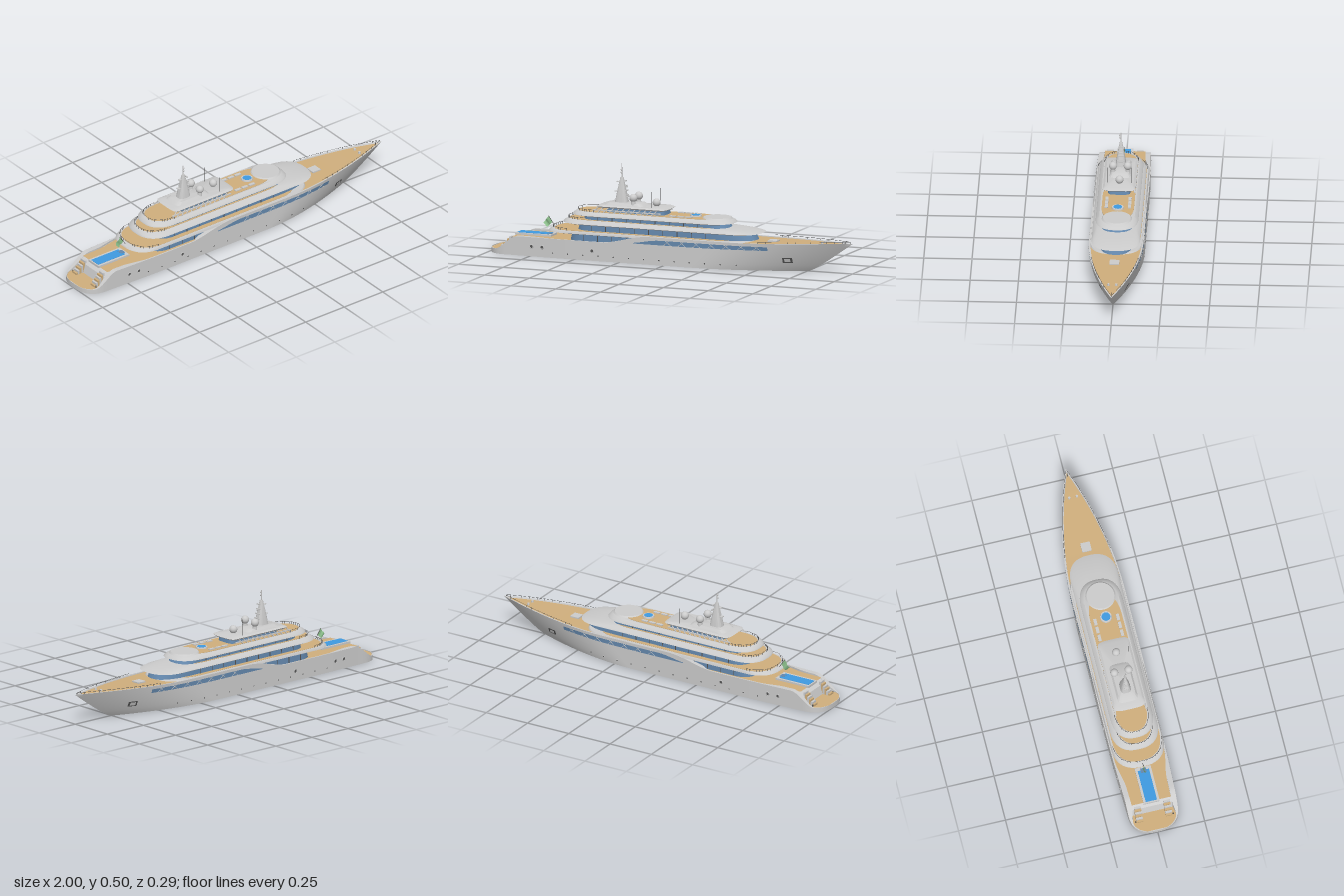
import * as THREE from 'three';
import { toCreasedNormals } from 'three/addons/utils/BufferGeometryUtils.js';

const GREY = 0xcccccc, TEAK = 0xcfae7c, GLASS = 0x6488ad, WATER = 0x3f9ae0, DARK = 0x555555;
const mats = {};
const mat = (c) => (mats[c] ??= new THREE.MeshStandardMaterial({ color: c, side: THREE.DoubleSide }));
const { clamp, lerp, smoothstep } = THREE.MathUtils;
const smooth = (a, b, x) => smoothstep(x, a, b);
const V = (x, y, z) => new THREE.Vector3(x, y, z);
const range = (n, f) => Array.from({ length: n }, (_, i) => f(i, i / (n - 1)));

// Hull rules: stem line, top edge, deck level, rim width and half beam
const LEVEL = 0.157;
const stem = (y) => 0.76 + 0.24 * Math.pow(Math.min(y / LEVEL, 1), 0.9);
const sheer = (x) => 0.025 + 0.075 * smooth(-0.95, -0.81, x) + 0.045 * smooth(-0.32, -0.08, x) + 0.012 * smooth(0.4, 1, x);
const deckY = (x) => (x < -0.87 ? 0.021 : x < -0.25 ? 0.09 : sheer(x) - 0.006);
const rim = (x) => 0.007 + 0.02 * smooth(-0.95, -0.86, x) * (1 - smooth(-0.76, -0.6, x));
function beam(x, y) {
  const t = Math.min(y / LEVEL, 1);
  const bow = clamp((stem(y) - x) / (0.6 + 0.1 * t), 0, 1);
  const stern = clamp((x + 1) / 0.12, 0, 1);
  const full = 0.13 + 0.011 * smooth(-1, -0.5, x);
  return full * (1 - Math.pow(1 - bow, 1.75 + 0.25 * t)) * Math.pow(1 - Math.pow(1 - stern, 2.6), 1 / 2.6);
}

// Skin over a grid of points
function skin(rows, crease = 0.6) {
  const pts = [];
  for (let i = 0; i < rows.length - 1; i++)
    for (let j = 0; j < rows[i].length - 1; j++) {
      const a = rows[i][j], b = rows[i + 1][j], c = rows[i + 1][j + 1], d = rows[i][j + 1];
      pts.push(a, b, d, b, c, d);
    }
  return toCreasedNormals(new THREE.BufferGeometry().setFromPoints(pts), crease);
}

// Rounded plan outline and a capped loft through several of them
function ring(y, x0, x1, w, aft, fore, e = 0.8) {
  return range(97, (i, u) => {
    const a = u * Math.PI * 2, c = Math.cos(a), s = Math.sin(a), k = Math.pow(Math.abs(c), e);
    return V(c >= 0 ? x1 - fore + fore * k : x0 + aft - aft * k, y, w * Math.sign(s) * Math.pow(Math.abs(s), e));
  });
}
function loft(rings) {
  const cap = (r) => r.map(() => V((r[0].x + r[48].x) / 2, r[0].y, 0));
  return skin([cap(rings[0]), ...rings, cap(rings.at(-1))]);
}

export function createModel() {
  const root = new THREE.Group();
  const add = (name, geo, color = GREY, x = 0, y = 0, z = 0) => {
    const m = new THREE.Mesh(geo, mat(color));
    m.name = name;
    m.position.set(x, y, z);
    root.add(m);
    return m;
  };
  const box = (name, sx, sy, sz, x, y, z, c) => add(name, new THREE.BoxGeometry(sx, sy, sz), c, x, y, z);
  const drum = (name, r0, r1, h, x, y, z, c) => add(name, new THREE.CylinderGeometry(r1, r0, h, 32), c, x, y, z);
  const rod = (name, a, b, r, c = GREY) => {
    const m = add(name, new THREE.CylinderGeometry(r, r, a.distanceTo(b), 6), c);
    m.position.copy(a).lerp(b, 0.5);
    m.quaternion.setFromUnitVectors(V(0, 1, 0), b.clone().sub(a).normalize());
  };
  const railing = (name, pts, h) => {
    const top = pts.map((p) => V(p.x, p.y + h, p.z));
    add(name, new THREE.TubeGeometry(new THREE.CatmullRomCurve3(top), 60, 0.0009, 4), DARK);
    pts.forEach((p, i) => i % 2 || rod(name + 'Post', p, top[i], 0.0008, DARK));
  };

  // Hull with rim and sunken decks
  add('hull', skin(range(141, (_, u) => {
    const s = (1 - Math.cos(Math.PI * u)) / 2, xd = -1 + 2 * s;
    const top = sheer(xd), deck = Math.min(deckY(xd), top - 0.003);
    const at = (y, k = 1, inset = 0) => {
      const x = -1 + (stem(y) + 1) * s;
      return V(x, y, Math.max(beam(x, y) * k - inset, 0));
    };
    const half = [at(0, 0), ...range(11, (_, t) => at(top * t)), at(top, 1, rim(xd)), at(deck, 1, rim(xd)), at(deck, 0)];
    return [...half, ...half.slice(0, -1).reverse().map((p) => V(p.x, p.y, -p.z))];
  })));

  // Teak decks
  const deck = (name, x0, x1) => add(name, skin(range(41, (_, u) => {
    const x = lerp(x0, x1, u), y = deckY(x) + 0.002;
    const w = Math.max(beam(x, y) - rim(x) - 0.001, 0);
    return [V(x, y, w), V(x, y, -w)];
  })), TEAK);
  deck('swimPlatformDeck', -0.994, -0.876);
  deck('aftDeck', -0.86, -0.3);
  deck('foreDeck', 0.3, 0.985);

  // Features repeated on both sides of the hull
  for (const s of [1, -1]) {
    const on = (x, y, off = 0.0012) => V(x, y, s * (beam(x, y) + off));
    const strip = (name, x0, x1, lo, hi, off, color) => add(name, skin(range(41, (_, u) => {
      const x = lerp(x0, x1, u);
      return [on(x, lo(x), off), on(x, hi(x), off)];
    })), color);
    const low = (x) => 0.106 + 0.004 * smooth(0.1, 0.57, x);
    const high = (x) => 0.108 + 0.022 * smooth(-0.2, -0.02, x);
    strip('hullWindows', -0.17, 0.57, low, high, 0.0012, GLASS);
    strip('windowSill', -0.2, 0.58, (x) => low(x) - 0.005, low, 0.003);
    for (let i = 0; i < 14; i++) {
      const x = i * 0.041;
      rod('windowStrut', on(x, low(x)), on(x + (i % 2 ? -0.03 : 0.03), high(x)), 0.0013);
    }
    strip('rubbingStrake', -0.8, 0.2, () => 0.094, () => 0.098, 0.003);
    strip('anchorPocket', 0.64, 0.69, () => 0.047, () => 0.075, 0.001, DARK);
    strip('anchor', 0.65, 0.68, () => 0.052, () => 0.07, 0.003);
    const porthole = (x, y, r) => {
      const p = on(x, y, 0.0005);
      add('portholeRim', new THREE.TorusGeometry(r, r * 0.25, 6, 16), GREY, p.x, p.y, p.z);
      drum('porthole', r, r, 0.002, p.x, p.y, p.z, DARK).rotation.x = Math.PI / 2;
    };
    for (const x of [-0.74, -0.68, -0.4]) porthole(x, 0.052, 0.009);
    for (let i = 0; i < 13; i++) porthole(-0.62 + i * 0.085, 0.026, 0.0035);
    // Stairs from the swim platform
    for (let i = 0; i < 6; i++) {
      const h = 0.011 * (i + 1);
      box('stair', 0.011, h, 0.035, -0.931 + i * 0.011, 0.022 + h / 2, s * 0.078, i % 2 ? GREY : TEAK);
    }
    // Foredeck railing and deck gear
    railing('foreRail', range(25, (_, u) => {
      const x = lerp(0.52, 0.988, u);
      return V(x, sheer(x), s * Math.max(beam(x, sheer(x)) - 0.004, 0.001));
    }), 0.009);
    drum('windlass', 0.007, 0.006, 0.01, 0.84, 0.156, s * 0.02);
    drum('bollard', 0.003, 0.003, 0.01, -0.93, 0.028, s * 0.1, DARK);
  }
  box('foreHatch', 0.05, 0.008, 0.05, 0.56, sheer(0.56) - 0.001, 0);
  rod('bowStaff', V(0.955, 0.15, 0), V(0.965, 0.172, 0), 0.0015, DARK);

  // Pool on the aft deck
  box('poolSurround', 0.2, 0.012, 0.085, -0.77, 0.096, 0);
  box('poolWater', 0.175, 0.004, 0.06, -0.775, 0.1015, 0, WATER);
  box('poolSteps', 0.025, 0.006, 0.03, -0.69, 0.1015, 0, GLASS);

  // Glazed house with vertical frames
  const house = (name, y, h, x0, x1, w, fore) => {
    add(name, loft([ring(y, x0, x1, w, 0.1, fore), ring(y + h, x0 + 0.01, x1 - 0.02, w - 0.002, 0.1, fore)]), GLASS);
    for (let x = x0 + 0.1; x < x1 - fore; x += 0.08)
      for (const s of [1, -1]) box('windowFrame', 0.003, h, 0.003, x, y + h / 2, s * w, DARK);
  };
  // Overhanging deck: sharp lower lip, sloped top that slants back at the front, teak and aft rail above
  const overhang = (name, y, h, x0, x1, w, slant, slope) => {
    const at = (t, a, f, g) => ring(y + h * t, x0 + a, x1 - f, w - g, 0.14, 0.14);
    add(name, loft([at(0, 0.02, 0.02, 0.008), at(0.18, 0, 0, 0), at(0.5, 0.003, slant * 0.25, slope * 0.2), at(1, 0.02, slant, slope)]));
    add(name + 'Teak', loft([at(0.95, 0.03, slant + 0.07, slope + 0.008), at(1.08, 0.03, slant + 0.07, slope + 0.008)]), TEAK);
    railing('aftRail', at(1, 0.023, slant, slope + 0.003).slice(26, 71), 0.012);
  };
  house('mainHouse', 0.09, 0.044, -0.56, 0.32, 0.112, 0.1);
  overhang('mainOverhang', 0.131, 0.016, -0.68, 0.46, 0.138, 0.01, 0.005);
  house('upperHouse', 0.146, 0.037, -0.52, 0.47, 0.1, 0.22);
  overhang('upperOverhang', 0.179, 0.023, -0.6, 0.5, 0.126, 0.12, 0.024);
  house('bridgeHouse', 0.2, 0.027, -0.49, 0.32, 0.085, 0.1);
  overhang('bridgeOverhang', 0.222, 0.023, -0.55, 0.345, 0.111, 0.025, 0.019);

  // Squared top house, roof and mast base
  const block = (name, y, h, x0, x1, w, taper, color) => add(name, loft([
    ring(y, x0, x1, w, 0.04, 0.04, 0.5),
    ring(y + h, x0 + taper, x1 - taper, w - taper / 2, 0.04, 0.04, 0.5)]), color);
  block('topHouse', 0.245, 0.028, -0.36, -0.03, 0.058, 0.006, GLASS);
  block('topRoofEdge', 0.271, 0.006, -0.4, -0.02, 0.08, -0.008);
  block('topRoof', 0.277, 0.007, -0.408, -0.012, 0.084, 0.02);
  block('mastBase', 0.283, 0.013, -0.37, -0.15, 0.055, 0.02);

  // Sun deck: round canopy, whirlpool, loungers, louvred screens and whips
  drum('roundCanopy', 0.08, 0.072, 0.008, 0.245, 0.248, 0);
  drum('whirlpoolRim', 0.032, 0.03, 0.009, 0.125, 0.2495, 0);
  drum('whirlpoolWater', 0.023, 0.023, 0.003, 0.125, 0.2535, 0, WATER);
  for (const s of [1, -1]) {
    for (let i = 0; i < 3; i++) box('lounger', 0.035, 0.006, 0.016, 0.02 + i * 0.045, 0.249, s * 0.06);
    for (let i = 0; i < 12; i++)
      rod('louvre', V(-0.42 + i * 0.03, 0.245, s * 0.084), V(-0.39 + i * 0.03, 0.274, s * 0.076), 0.003);
    box('screenRail', 0.38, 0.005, 0.006, -0.23, 0.258, s * 0.081);
    rod('whipAntenna', V(-0.1, 0.28, s * 0.063), V(-0.1, 0.368, s * 0.063), 0.0011, DARK);
  }

  // Tapering mast with radar platforms and pole
  add('mast', loft(range(6, (_, t) => {
    const r = lerp(0.036, 0.008, t);
    return ring(lerp(0.29, 0.425, t), -0.289 - r, -0.289 + r, lerp(0.028, 0.006, Math.pow(t, 1.2)), r, r, 0.6);
  })));
  for (let i = 0; i < 4; i++) {
    const y = 0.325 + i * 0.025;
    box('mastPlatform', 0.055 - i * 0.008, 0.004, 0.024 - i * 0.003, -0.29 + (i % 2 ? -0.012 : 0.012), y, 0);
    box('radarBar', 0.006, 0.005, 0.04 - i * 0.006, -0.26 - i * 0.003, y + 0.006, 0);
  }
  rod('mastPole', V(-0.29, 0.42, 0), V(-0.29, 0.478, 0), 0.0022);
  rod('mastTip', V(-0.29, 0.47, 0), V(-0.29, 0.498, 0), 0.001);
  for (const y of [0.45, 0.465]) add('mastLamp', new THREE.SphereGeometry(0.005, 10, 8), GREY, -0.29, y, 0.006);

  // Satellite domes on pedestals
  for (const p of [V(-0.21, 0.326, 0.038), V(-0.21, 0.326, -0.038), V(-0.095, 0.304, 0)]) {
    add('satelliteDome', new THREE.SphereGeometry(0.021, 24, 16), GREY, p.x, p.y, p.z);
    drum('domePedestal', 0.014, 0.01, p.y - 0.28, p.x, (p.y + 0.27) / 2, p.z);
  }

  // Stern flag
  rod('flagStaff', V(-0.665, 0.145, 0), V(-0.7, 0.195, 0), 0.0014, DARK);
  add('flag', skin(range(13, (_, u) => {
    const z = 0.007 * Math.sin(u * 7) * u;
    return [V(-0.7 - 0.028 * u, 0.193 - 0.035 * u, z), V(-0.678 - 0.028 * u, 0.164 - 0.028 * u, z)];
  }), 1.5), 0x8fc48f);

  return root;
}
